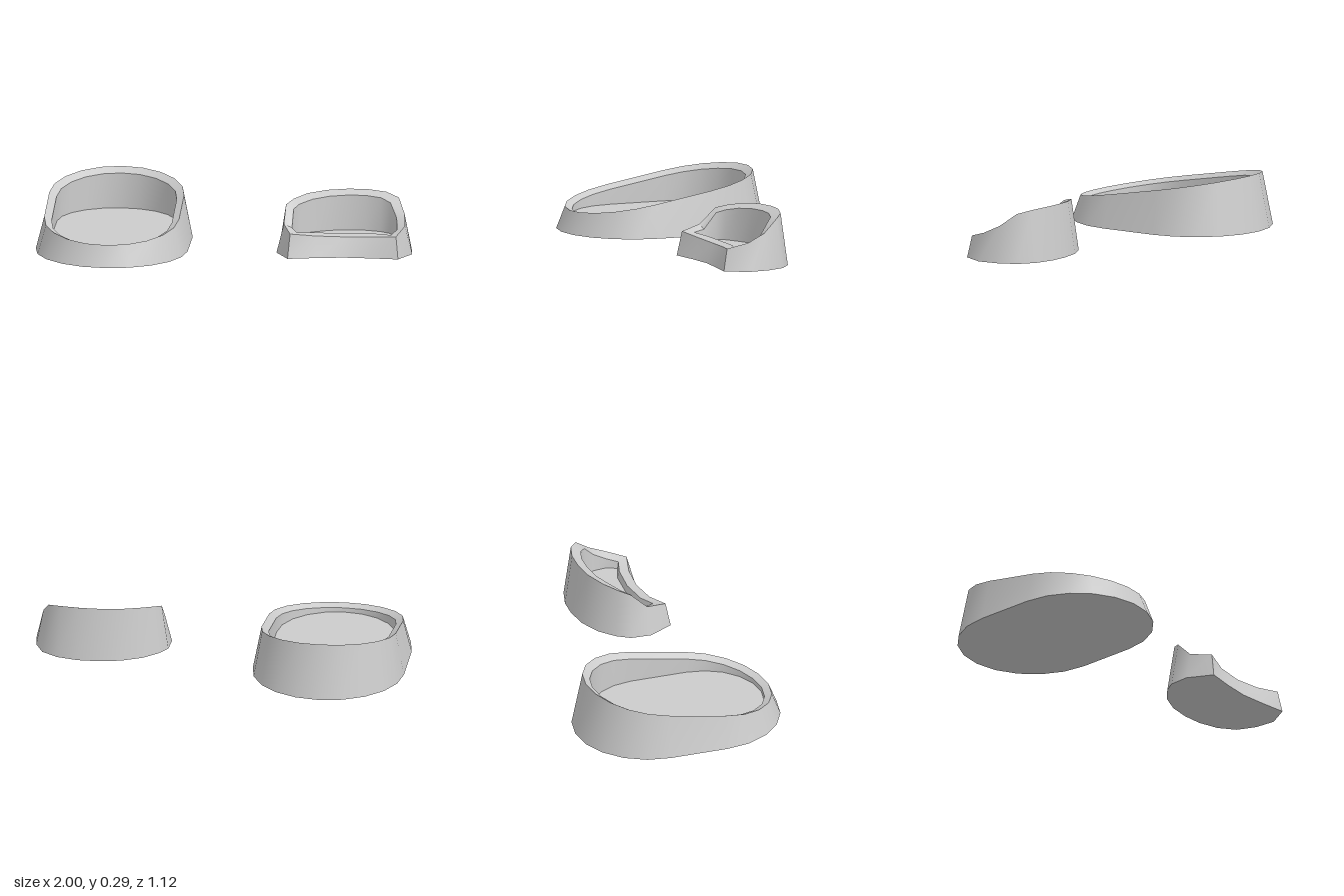
import * as THREE from 'three';
import { toCreasedNormals } from 'three/addons/utils/BufferGeometryUtils.js';

const material = new THREE.MeshStandardMaterial({ color: 0xcccccc });

// Moves a closed [x, z] outline inwards by inset(i), keeping mitred corners
function insetOutline(points, inset) {
  const n = points.length;
  const inward = (a, b) => new THREE.Vector2(a[1] - b[1], b[0] - a[0]).normalize();
  return points.map((p, i) => {
    const n1 = inward(points[(i + n - 1) % n], p);
    const n2 = inward(p, points[(i + 1) % n]);
    const k = inset(i) / (1 + n1.dot(n2));
    return [p[0] + (n1.x + n2.x) * k, p[1] + (n1.y + n2.y) * k];
  });
}

// Outline plus a height rule gives a 3D ring
const ring = (outline, height) => outline.map(([x, z], i) => [x, height(z, i), z]);

function toMesh(name, positions, index) {
  let geometry = new THREE.BufferGeometry();
  geometry.setAttribute('position', new THREE.Float32BufferAttribute(positions.flat(), 3));
  geometry.setIndex(index);
  geometry = toCreasedNormals(geometry, 0.65);
  const mesh = new THREE.Mesh(geometry, material);
  mesh.name = name;
  return mesh;
}

// Band of quads between two rings
function band(name, lower, upper) {
  const n = lower.length;
  const index = [];
  for (let i = 0; i < n; i++) {
    const j = (i + 1) % n;
    index.push(j, i, n + i, j, n + i, n + j);
  }
  return toMesh(name, [...lower, ...upper], index);
}

// Flat face filling a ring, facing up or down
function cap(name, points, up) {
  const flat = points.map(([x, , z]) => new THREE.Vector2(x, z));
  const index = THREE.ShapeUtils.triangulateShape(flat, []).flatMap(([a, b, c]) => {
    const turn = flat[b].clone().sub(flat[a]).cross(flat[c].clone().sub(flat[a]));
    return (turn < 0) === up ? [a, b, c] : [a, c, b];
  });
  return toMesh(name, points, index);
}

function tray(name, base, rim, lip, floor) {
  const group = new THREE.Group();
  group.name = name;
  group.add(
    cap('underside', base, false),
    band('outerWall', base, rim),
    band('rim', rim, lip),
    band('innerWall', lip, floor),
    cap('floor', floor, true)
  );
  return group;
}

// Large oval tray with a rim that rises towards the back
function ovalTray() {
  const outline = [];
  const steps = 10;
  for (const side of [-1, 1]) {
    for (let i = 0; i <= steps; i++) {
      const t = (i / steps) * Math.PI;
      outline.push([-0.596 + side * 0.404 * Math.cos(t), side * (0.16 + 0.402 * Math.sin(t))]);
    }
  }
  const slope = (z) => 0.205 - 0.177 * z;
  // The upper rings lean forward with the tilt of the rim
  const leaning = (inset) => insetOutline(outline, () => inset).map(([x, z]) => [x, z + 0.0125 * (0.5 - z)]);
  return tray('ovalTray',
    ring(outline, () => 0),
    ring(leaning(0.045), slope),
    ring(leaning(0.084), (z) => slope(z) - 0.022),
    ring(leaning(0.086), () => 0.075));
}

// Small kidney-shaped tray with a low front lip and a high back
function kidneyTray() {
  // x and z of the base, and height of the rim above it
  const outline = [
    [0.35, 0.278, 0.13], [0.28, 0.145, 0.155], [0.285, 0.035, 0.24], [0.328, -0.035, 0.257],
    [0.405, -0.108, 0.273], [0.515, -0.162, 0.281], [0.635, -0.184, 0.285], [0.745, -0.184, 0.285],
    [0.858, -0.155, 0.279], [0.944, -0.094, 0.262], [0.988, 0.005, 0.195], [1, 0.118, 0.15],
    [0.935, 0.24, 0.118], [0.79, 0.23, 0.107], [0.645, 0.225, 0.103], [0.5, 0.246, 0.11]
  ];
  const isFront = (i) => i > 12;
  const isCorner = (i) => i === 0 || i === 12;
  const isBack = (i) => i > 3 && i < 10;
  // Inset distances for the front edge, its two corners, the sides and the back
  const inset = (front, corner, side, back) => insetOutline(outline,
    (i) => (isFront(i) ? front : isCorner(i) ? corner : isBack(i) ? back : side));
  const rimHeight = (z, i) => outline[i][2];
  const lipHeight = (z, i) => outline[i][2] + (isFront(i) ? 0.006 : isCorner(i) ? -0.005 : -0.022);
  return tray('kidneyTray',
    ring(outline, () => 0),
    ring(inset(0.042, 0.022, 0.038, 0.038), rimHeight),
    ring(inset(0.095, 0.075, 0.08, 0.09), lipHeight),
    ring(inset(0.105, 0.08, 0.084, 0.1), () => 0.075));
}

export function createModel() {
  const model = new THREE.Group();
  model.name = 'trays';
  model.add(ovalTray(), kidneyTray());
  return model;
}
